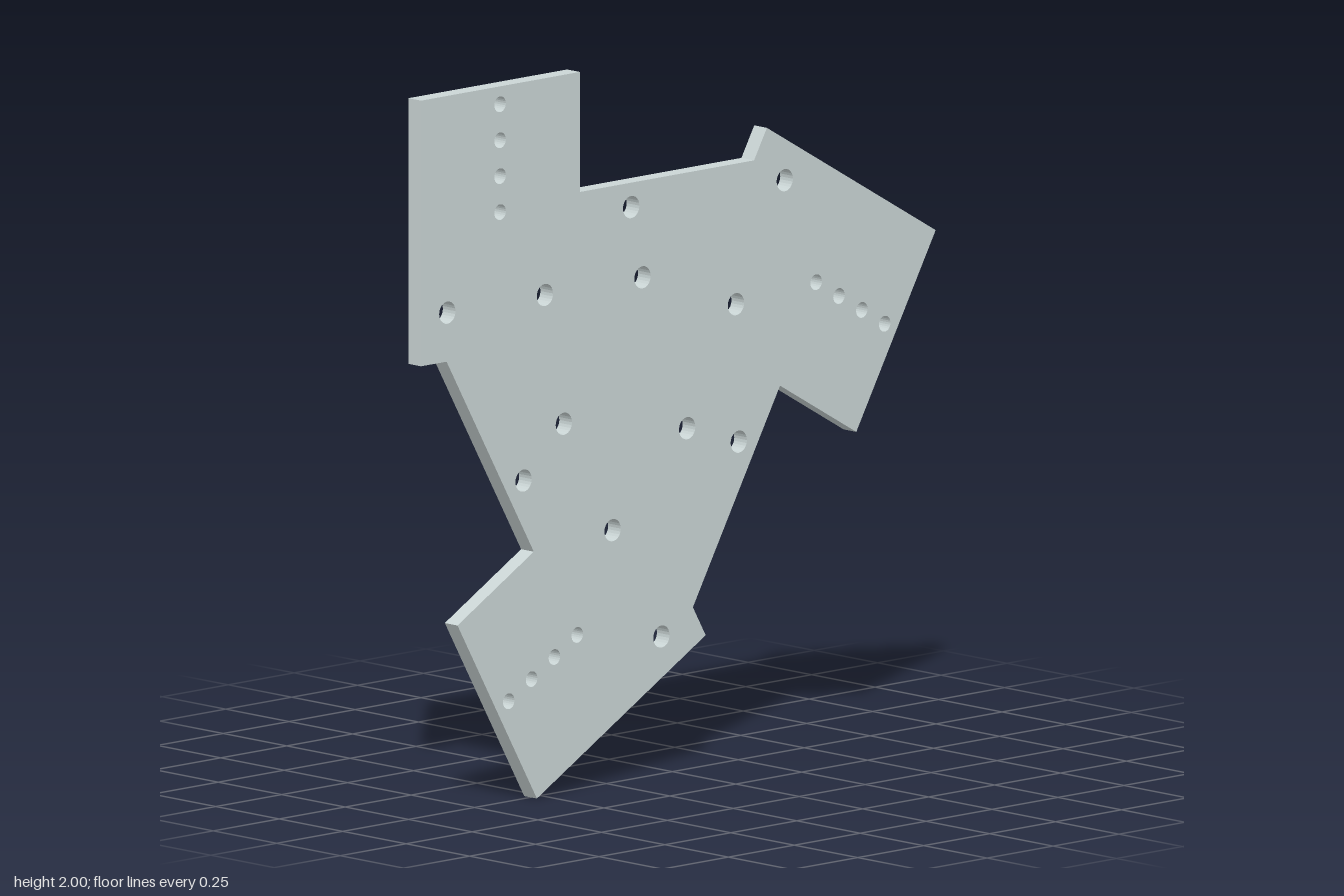
import * as THREE from 'three';

const THICKNESS = 0.05;
const CENTRE = new THREE.Vector2(-0.18, 1.127); // pivot of the three-fold symmetry
const ORIGIN = new THREE.Vector2();

// One arm, measured from the pivot, clockwise; the other two are turned copies
const armOutline = [[-0.7, 0.134], [-0.797, 0.134], [-0.797, 0.873], [-0.195, 0.873], [-0.195, 0.539]];
const largeHoles = [[-0.697, 0.27], [-0.327, 0.27], [0, 0.471], [0.043, 0.27]];
const smallHoles = [0.823, 0.723, 0.623, 0.523].map((y) => [-0.497, y]);

export function createModel() {
  const group = new THREE.Group();
  const outline = [];
  const holes = [];

  for (let arm = 0; arm < 3; arm++) {
    const place = ([x, y]) =>
      new THREE.Vector2(x, y).rotateAround(ORIGIN, -arm * Math.PI * 2 / 3).add(CENTRE);
    // Holes run counter-clockwise, against the outline, so their walls face inwards
    const drill = (points, radius) => points.forEach((point) => {
      const c = place(point);
      holes.push(new THREE.Path().absarc(c.x, c.y, radius, 0, Math.PI * 2, false));
    });
    outline.push(...armOutline.map(place));
    drill(largeHoles, 0.031);
    drill(smallHoles, 0.022);
  }

  // Flat three-armed plate with through holes
  const shape = new THREE.Shape(outline);
  shape.holes = holes;
  const geometry = new THREE.ExtrudeGeometry(shape, {
    depth: THICKNESS, bevelEnabled: false, curveSegments: 12,
  });
  geometry.translate(0, 0, -THICKNESS / 2);

  const plate = new THREE.Mesh(geometry, new THREE.MeshStandardMaterial({ color: 0xcad5d5 }));
  plate.name = 'threeArmedPlate';
  group.add(plate);
  return group;
}
